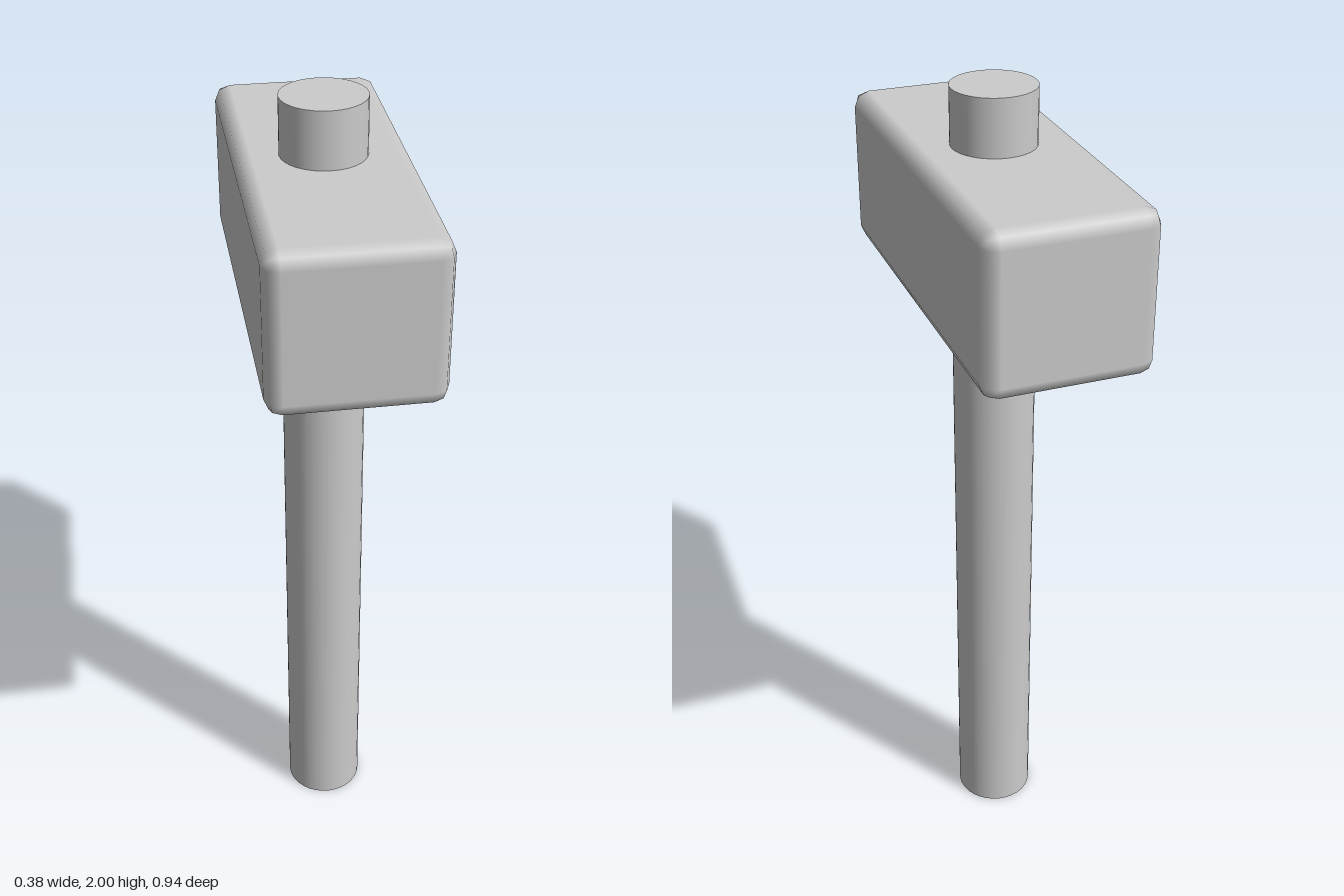
import * as THREE from 'three';
import { RoundedBoxGeometry } from 'three/addons/geometries/RoundedBoxGeometry.js';

export function createModel() {
  const group = new THREE.Group();
  const material = new THREE.MeshStandardMaterial({ color: 0xcccccc });

  // Adds a named part centred at height y
  const addPart = (name, geometry, y) => {
    const mesh = new THREE.Mesh(geometry, material);
    mesh.name = name;
    mesh.position.y = y;
    group.add(mesh);
  };

  // Round handle running right through the head
  addPart('handle', new THREE.CylinderGeometry(0.097, 0.097, 2, 32), 1);

  // Mallet head with a narrow two-step bevel on every edge
  addPart('head', new RoundedBoxGeometry(0.385, 0.371, 0.94, 1, 0.036), 1.684);

  return group;
}
